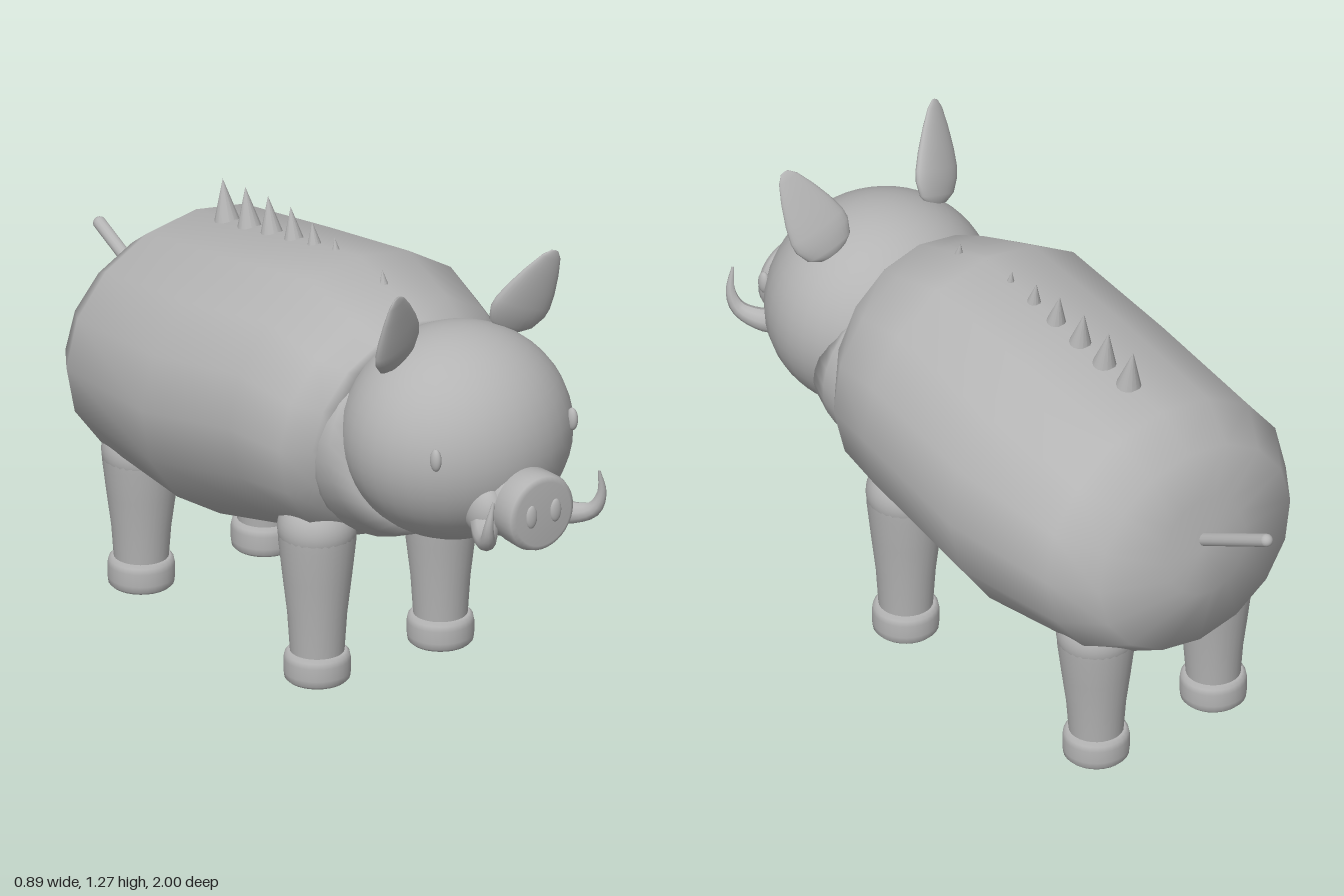
import * as THREE from 'three';

const hide = new THREE.MeshStandardMaterial({ color: 0xb4b4b4 });
hide.name = 'grey hide';

// Closed loft of elliptical rings running front to back: [zTop, zBottom, yTop, yBottom, halfWidth]
function loft(rings, segs) {
  const pos = [], idx = [];
  for (const [zt, zb, yt, yb, w] of rings) {
    for (let j = 0; j < segs; j++) {
      const a = (j / segs) * Math.PI * 2, s = (Math.sin(a) + 1) / 2;
      pos.push(w * Math.cos(a), yb + (yt - yb) * s, zb + (zt - zb) * s);
    }
  }
  const n = rings.length;
  for (let i = 0; i < n - 1; i++) {
    for (let j = 0; j < segs; j++) {
      const a = i * segs + j, b = i * segs + (j + 1) % segs;
      idx.push(a, a + segs, b, b, a + segs, b + segs);
    }
  }
  // end caps
  for (const [i, r] of [[0, rings[0]], [n - 1, rings[n - 1]]]) {
    const c = pos.length / 3;
    pos.push(0, (r[2] + r[3]) / 2, (r[0] + r[1]) / 2);
    for (let j = 0; j < segs; j++) {
      const a = i * segs + j, b = i * segs + (j + 1) % segs;
      if (i === 0) idx.push(c, a, b); else idx.push(c, b, a);
    }
  }
  const g = new THREE.BufferGeometry();
  g.setAttribute('position', new THREE.Float32BufferAttribute(pos, 3));
  g.setIndex(idx);
  g.computeVertexNormals();
  return g;
}

// Tube along a curve that narrows from r0 to r1
function taperedTube(points, r0, r1) {
  const curve = new THREE.CatmullRomCurve3(points.map(p => new THREE.Vector3(...p)));
  const n = 16, sides = 10;
  const g = new THREE.TubeGeometry(curve, n, 1, sides);
  const p = g.attributes.position, v = new THREE.Vector3();
  for (let i = 0; i < p.count; i++) {
    const t = Math.floor(i / (sides + 1)) / n, c = curve.getPointAt(t);
    v.fromBufferAttribute(p, i).sub(c).multiplyScalar(r0 + (r1 - r0) * t).add(c);
    p.setXYZ(i, v.x, v.y, v.z);
  }
  g.computeVertexNormals();
  return g;
}

const lathe = (pts, segs = 28) =>
  new THREE.LatheGeometry(pts.map(([r, y]) => new THREE.Vector2(r, y)), segs);

export function createModel() {
  const model = new THREE.Group();
  model.name = 'boar';
  const add = (name, geo, x = 0, y = 0, z = 0) => {
    const m = new THREE.Mesh(geo, hide);
    m.name = name;
    m.position.set(x, y, z);
    model.add(m);
    return m;
  };
  const ball = (name, x, y, z, rx, ry, rz) => {
    const m = add(name, new THREE.SphereGeometry(1, 36, 24), x, y, z);
    m.scale.set(rx, ry, rz);
    return m;
  };

  // Barrel body, neck and head
  add('body', loft([
    [0.435, 0.37, 1.03, 0.47, 0.29],
    [0.42, 0.34, 1.045, 0.43, 0.33],
    [0.34, 0.29, 1.075, 0.39, 0.39],
    [0.15, 0.14, 1.14, 0.36, 0.432],
    [-0.2, -0.24, 1.083, 0.268, 0.445],
    [-0.57, -0.6, 1.02, 0.31, 0.42],
    [-0.68, -0.725, 0.94, 0.37, 0.335],
    [-0.72, -0.775, 0.81, 0.55, 0.14],
  ], 16));
  add('neck', loft([
    [0.43, 0.555, 0.97, 0.51, 0.305],
    [0.41, 0.47, 0.99, 0.455, 0.32],
    [0.38, 0.39, 1.0, 0.42, 0.32],
    [0.28, 0.3, 1.0, 0.425, 0.3],
  ], 32));
  ball('head', 0, 0.79, 0.582, 0.32, 0.293, 0.293);

  // Muzzle and snout disc
  const muzzle = add('muzzle', new THREE.CylinderGeometry(0.088, 0.13, 0.2, 32), 0, 0.672, 0.8);
  muzzle.rotation.x = Math.PI / 2;
  const snout = add('snout', lathe([
    [0, -0.045], [0.095, -0.045], [0.107, -0.035], [0.109, 0.02],
    [0.104, 0.035], [0.09, 0.043], [0, 0.043],
  ], 36), 0, 0.677, 0.922);
  snout.rotation.x = Math.PI / 2;

  // Tail
  add('tail', new THREE.CapsuleGeometry(0.018, 0.36, 6, 14), 0, 0.748, -0.835)
    .rotation.x = -Math.PI / 2 - Math.atan2(-0.165, 0.325);
  
  // Spine bristles, sunk into the back: [z, tip height]
  for (const [z, tip] of [[-0.43, 1.152], [-0.33, 1.163], [-0.23, 1.172], [-0.13, 1.176],
    [-0.035, 1.167], [0.065, 1.155], [0.165, 1.142], [0.275, 1.137]]) {
    const spike = add('bristle', new THREE.ConeGeometry(0.045, 0.15, 14), 0, tip - 0.075, z - 0.01);
    spike.rotation.x = -0.17;
  }

  const earShape = lathe([
    [0, 0], [0.04, 0.008], [0.07, 0.03], [0.086, 0.07], [0.086, 0.1],
    [0.074, 0.15], [0.053, 0.21], [0.03, 0.262], [0.012, 0.283], [0, 0.286],
  ]);
  const hoof = lathe([
    [0, 0], [0.08, 0], [0.088, 0.008], [0.09, 0.025], [0.09, 0.06],
    [0.087, 0.075], [0.078, 0.083], [0, 0.083],
  ]);
  const leg = lathe([
    [0.072, 0.07], [0.08, 0.19], [0.093, 0.3], [0.104, 0.4], [0.106, 0.44],
  ]);

  // Mirrored parts
  for (const s of [1, -1]) {
    const side = s > 0 ? 'left' : 'right';
    ball(side + 'Eye', s * 0.227, 0.832, 0.79, 0.014, 0.032, 0.018);
    ball(side + 'Nostril', s * 0.04, 0.679, 0.964, 0.018, 0.033, 0.01);
    ball(side + 'Lip', s * 0.09, 0.665, 0.82, 0.05, 0.075, 0.07);
    add(side + 'Tusk', taperedTube([
      [s * 0.085, 0.645, 0.82], [s * 0.135, 0.62, 0.885], [s * 0.175, 0.64, 0.95],
      [s * 0.188, 0.69, 0.972], [s * 0.176, 0.763, 0.977],
    ], 0.045, 0.003));

    // Ear: flattened teardrop leaning out and forward
    const up = new THREE.Vector3(s * 0.085, 0.255, 0.11).normalize();
    const wide = new THREE.Vector3(1, 0, s * 0.3);
    wide.addScaledVector(up, -wide.dot(up)).normalize();
    const thick = new THREE.Vector3().crossVectors(wide, up);
    const ear = add(side + 'Ear', earShape, s * 0.18, 1.018, 0.558);
    ear.quaternion.setFromRotationMatrix(new THREE.Matrix4().makeBasis(wide, up, thick));
    ear.scale.z = 0.3;

    // Legs with rounded shoulders and hooves
    for (const [end, z, top] of [['Front', 0.237, 0], ['Hind', -0.54, -0.05]]) {
      const m = add(side + end + 'Leg', leg, s * 0.205, 0, z);
      m.scale.y = 1 + top / 0.44;
      ball(side + end + 'Shoulder', s * 0.205, 0.44 + top, z, 0.107, 0.1, 0.107);
      add(side + end + 'Hoof', hoof, s * 0.205, 0, z);
    }
  }
  return model;
}
